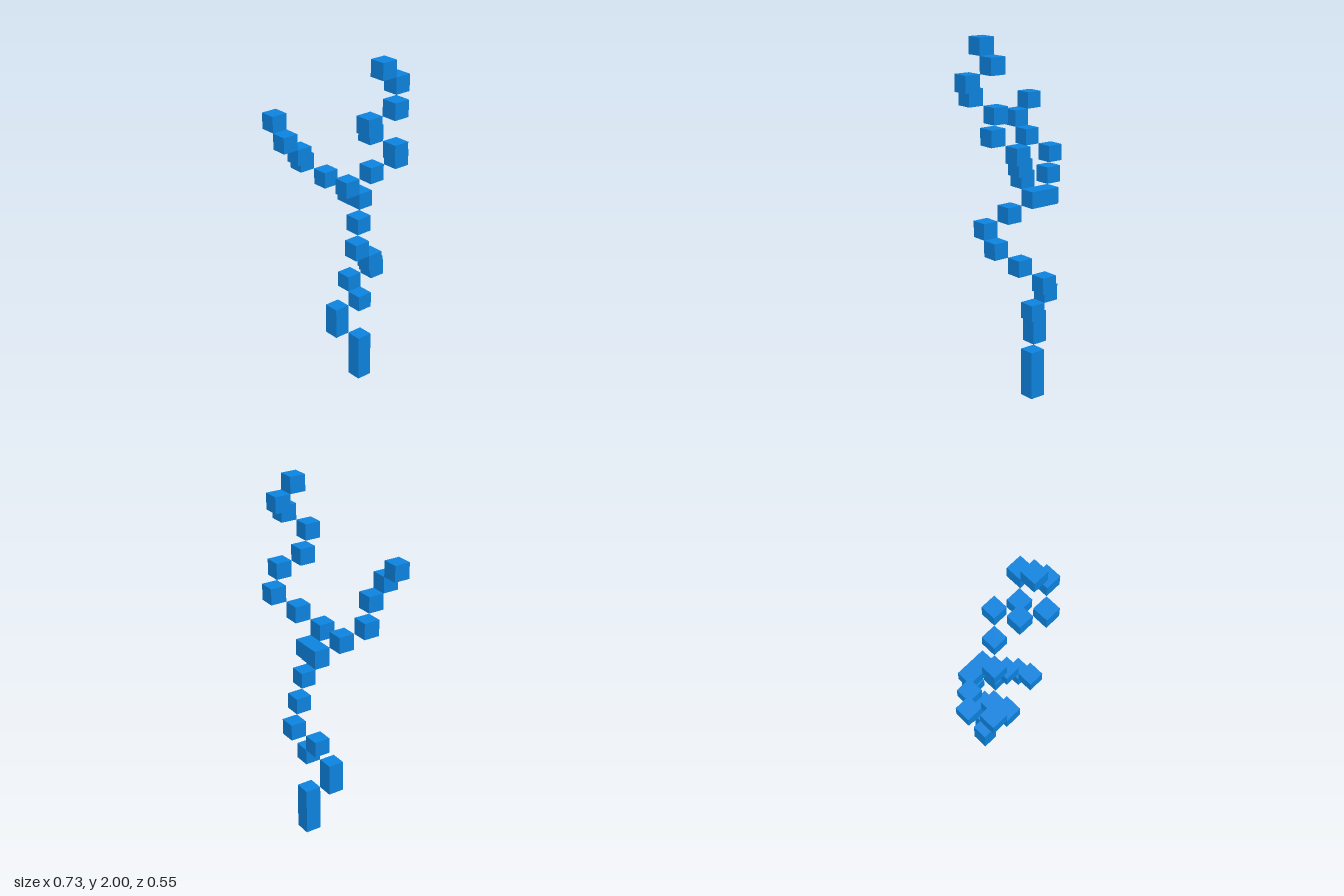
import * as THREE from 'three';

const S = 2 / 22; // edge of one grid cell
const material = new THREE.MeshStandardMaterial({ color: 0x0d84e0, flatShading: true });

// Each block: [x, y, z] lowest grid cell, then optional width and height in cells
const parts = {
  trunk: [
    [-1, 0, -2, 1, 3], [-2, 3, -1, 1, 2], [-1, 5, -2], [-2, 6, -2], [-1, 7, -3],
    [0, 8, -2], [1, 9, -1], [1, 10, 0], [0, 11, -1],
  ],
  fork: [[-2, 12, -2, 2, 1]],
  rightBranch: [[-3, 13, -1], [-4, 14, 0], [-3, 15, 1], [-3, 16, 2], [-4, 17, 2]],
  leftBranch: [
    [-1, 13, -1], [0, 14, -2], [1, 15, -3], [2, 16, -2], [1, 17, -1],
    [2, 18, 0], [3, 19, -1], [2, 20, -2], [2, 21, -1],
  ],
};

function block([x, y, z, w = 1, h = 1], name) {
  const mesh = new THREE.Mesh(new THREE.BoxGeometry(w * S, h * S, S), material);
  mesh.position.set((x + w / 2) * S, (y + h / 2) * S, (z + 0.5) * S);
  mesh.name = name;
  return mesh;
}

export function createModel() {
  const model = new THREE.Group();
  model.name = 'blockTree';
  for (const [name, blocks] of Object.entries(parts)) {
    const part = new THREE.Group();
    part.name = name;
    blocks.forEach((b) => part.add(block(b, name + 'Block')));
    model.add(part);
  }
  return model;
}
